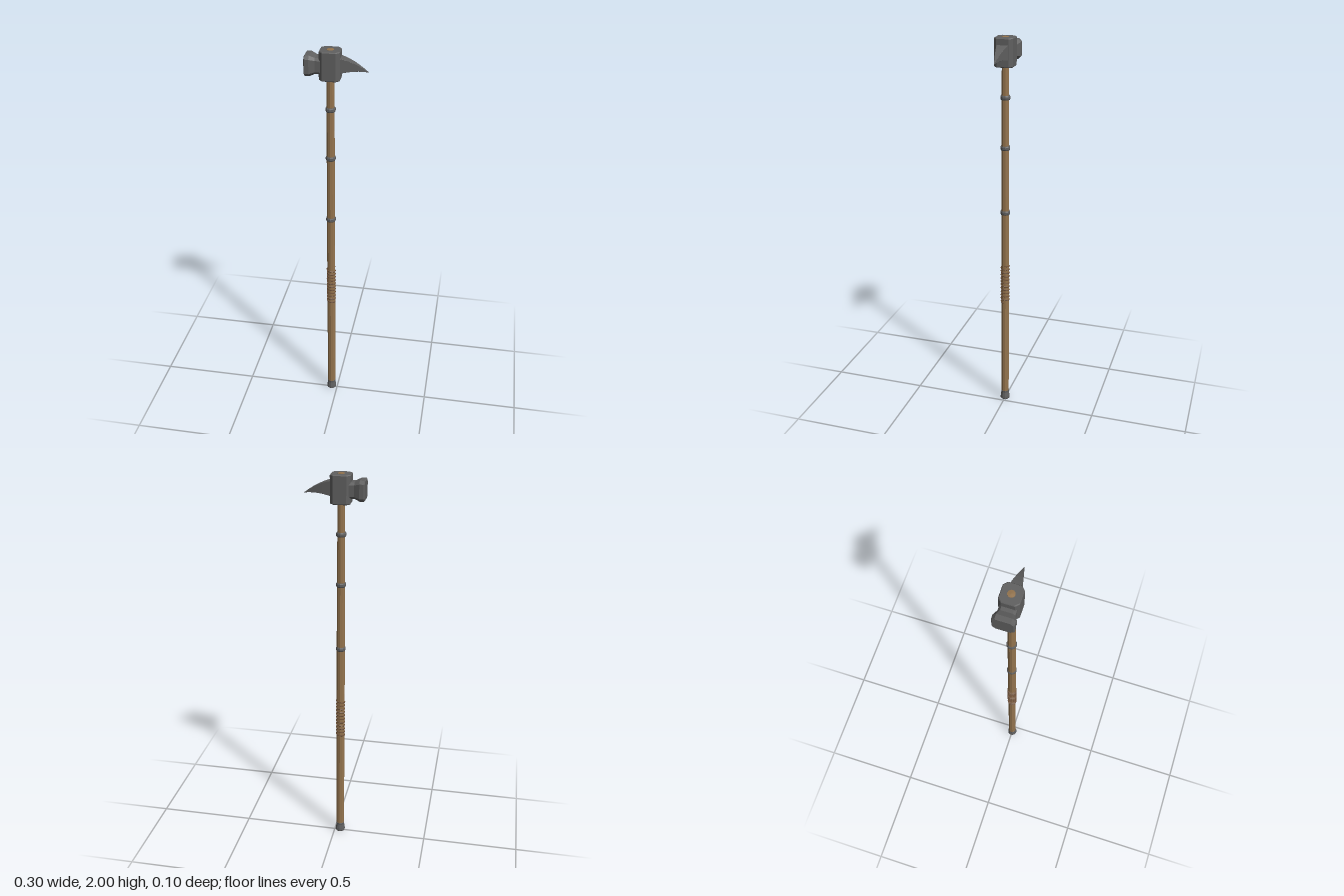
import * as THREE from 'three';

const mat = (color) => new THREE.MeshStandardMaterial({ color, flatShading: true });
const AXIS_X = -0.031;

// Chamfered-rectangle sections [x, centreY, halfY, halfZ, chamfer] skinned along +x
function loft(sections) {
  const pos = [], idx = [];
  for (const [x, cy, h, w, c] of sections) {
    const ring = [[h, -w + c], [h, w - c], [h - c, w], [c - h, w],
      [-h, w - c], [-h, c - w], [c - h, -w], [h - c, -w]];
    for (const [y, z] of ring) pos.push(x, cy + y, z);
  }
  const last = (sections.length - 1) * 8;
  for (let s = 0; s < last; s += 8) {
    for (let i = 0; i < 8; i++) {
      const j = (i + 1) % 8;
      idx.push(s + i, s + j, s + 8 + j, s + i, s + 8 + j, s + 8 + i);
    }
  }
  for (let i = 1; i < 7; i++) idx.push(0, i + 1, i, last, last + i, last + i + 1);
  const g = new THREE.BufferGeometry();
  g.setAttribute('position', new THREE.Float32BufferAttribute(pos, 3));
  g.setIndex(idx);
  const flat = g.toNonIndexed();
  flat.computeVertexNormals();
  return flat;
}

export function createModel() {
  const model = new THREE.Group();
  const wood = mat(0x94744e), iron = mat(0x606060), leather = mat(0x70523a);
  const add = (name, geometry, material, x = 0, y = 0) => {
    const mesh = new THREE.Mesh(geometry, material);
    mesh.name = name;
    mesh.position.set(x, y, 0);
    model.add(mesh);
    return mesh;
  };
  const lathe = (pts) => new THREE.LatheGeometry(pts.map(([r, y]) => new THREE.Vector2(r, y)), 10);

  // Wooden shaft, its end showing through the head
  add('shaft', lathe([[0, 0.03], [0.021, 0.03], [0.021, 1.2], [0.018, 1.9], [0.018, 1.998], [0, 2]]), wood, AXIS_X);

  // Iron foot cap
  add('footCap', lathe([[0, 0], [0.021, 0], [0.026, 0.006], [0.025, 0.02], [0.021, 0.042], [0.022, 0.053], [0.018, 0.055]]), iron, AXIS_X);

  // Bands around the shaft
  for (const y of [1.11, 1.452, 1.706]) {
    add('band', lathe([[0.018, -0.011], [0.022, -0.011], [0.025, -0.005], [0.025, 0.005], [0.022, 0.011], [0.018, 0.011]]), iron, AXIS_X, y);
  }

  // Cord wound around the grip
  const turns = 11, steps = turns * 10, cord = [];
  for (let i = 0; i <= steps; i++) {
    const a = (i / steps) * turns * Math.PI * 2;
    cord.push(new THREE.Vector3(0.0205 * Math.cos(a), 0.6 + 0.215 * i / steps, 0.0205 * Math.sin(a)));
  }
  add('gripCord', new THREE.TubeGeometry(new THREE.CatmullRomCurve3(cord), steps * 2, 0.004, 5), leather, AXIS_X);

  // Head block, lofted upward
  const block = add('headBlock', loft([
    [1.858, 0, 0.046, 0.044, 0.016], [1.862, 0, 0.049, 0.047, 0.017],
    [1.993, 0, 0.049, 0.047, 0.017], [1.997, 0, 0.046, 0.044, 0.016],
  ]), iron, AXIS_X);
  block.rotation.z = Math.PI / 2;

  // Hammer face with a narrower neck
  add('hammerFace', loft([
    [-0.148, 1.925, 0.045, 0.046, 0.014], [-0.144, 1.925, 0.049, 0.05, 0.015],
    [-0.124, 1.925, 0.049, 0.05, 0.015], [-0.098, 1.924, 0.038, 0.038, 0.011],
    [-0.06, 1.924, 0.038, 0.038, 0.011],
  ]), iron);

  // Curved, down-turned spike
  const spike = [];
  for (let i = 0; i <= 6; i++) {
    const t = i / 6;
    const top = 1.966 - 0.026 * t - 0.04 * t * t;
    const low = 1.892 + 0.038 * t - 0.031 * t * t;
    spike.push([0.01 + 0.137 * t, (top + low) / 2, Math.max((top - low) / 2, 0.001),
      Math.max(0.03 * (1 - t) + 0.004 * t * (1 - t), 0.0006), 0.0004]);
  }
  add('spike', loft(spike), iron);

  return model;
}
